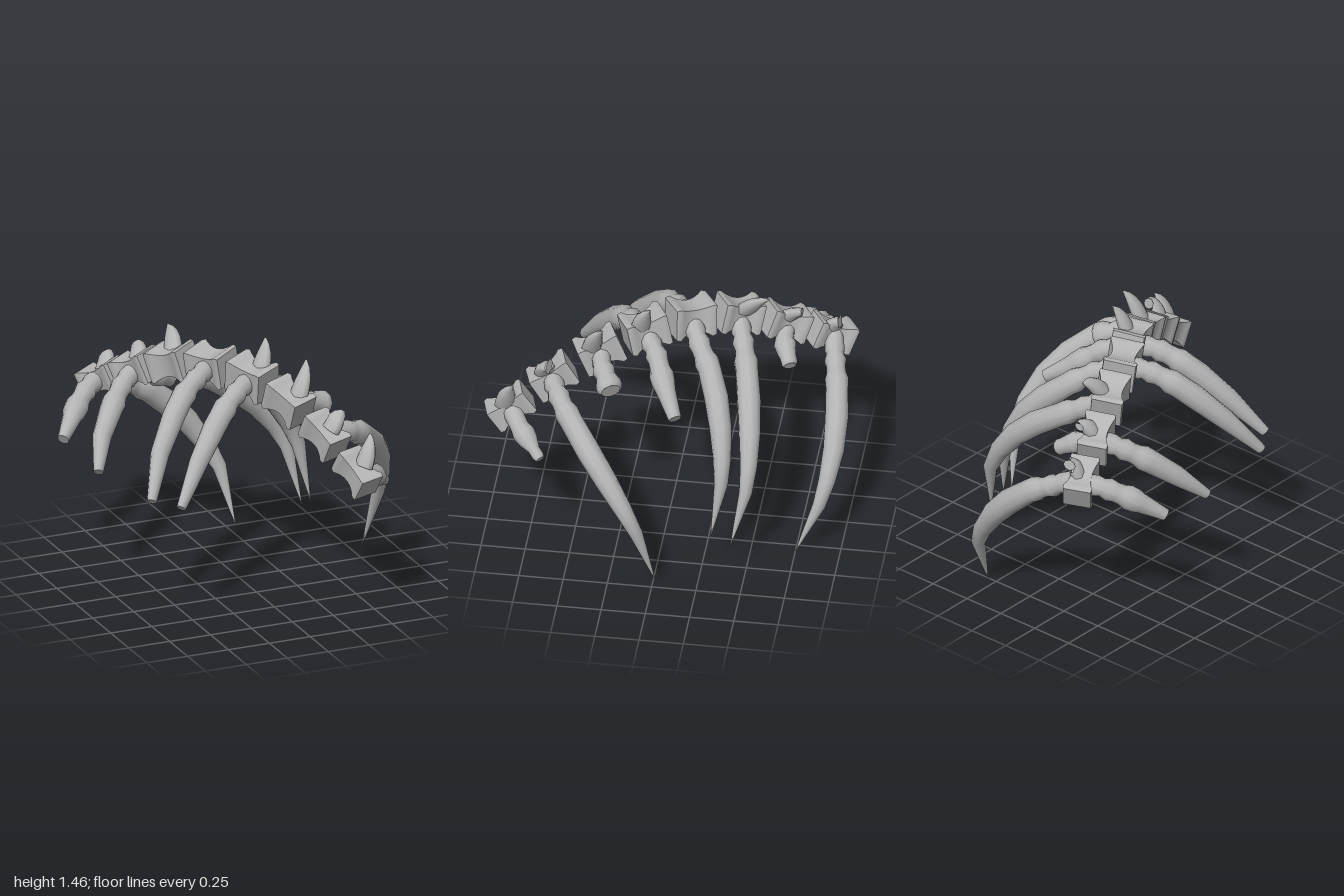
import * as THREE from 'three';

const V = (a) => new THREE.Vector3(...a);

// Skin rings of an elliptical section along a curve; rows are [u, radiusA, radiusB]
function loft(curve, rows, sides, startNormal) {
  const pos = [], idx = [];
  let n = startNormal.clone();
  const ring = (u, ra, rb) => {
    const t = curve.getTangentAt(u), c = curve.getPointAt(u);
    n = n.clone().addScaledVector(t, -n.dot(t)).normalize();
    const b = new THREE.Vector3().crossVectors(t, n);
    for (let i = 0; i < sides; i++) {
      const a = (i / sides) * Math.PI * 2;
      const p = c.clone().addScaledVector(n, Math.cos(a) * ra).addScaledVector(b, Math.sin(a) * rb);
      pos.push(p.x, p.y, p.z);
    }
  };
  rows.forEach(([u, ra, rb]) => ring(u, ra, rb));
  for (let r = 0; r < rows.length - 1; r++) {
    for (let i = 0; i < sides; i++) {
      const a = r * sides + i, b = r * sides + (i + 1) % sides;
      idx.push(a, b, b + sides, a, b + sides, a + sides);
    }
  }
  // end caps use their own vertices so the broken ends stay sharp
  [rows[0], rows[rows.length - 1]].forEach(([u, ra, rb], end) => {
    const s = pos.length / 3;
    ring(u, ra, rb);
    for (let i = 1; i < sides - 1; i++) {
      if (end) idx.push(s, s + i, s + i + 1);
      else idx.push(s, s + i + 1, s + i);
    }
  });
  const g = new THREE.BufferGeometry();
  g.setAttribute('position', new THREE.Float32BufferAttribute(pos, 3));
  g.setIndex(idx);
  g.computeVertexNormals();
  return g;
}

// Vertebra centres with the half size of their end faces
const vertebrae = [
  [-0.46, 0.97, -0.845, 0.083], [-0.36, 1.10, -0.60, 0.088],
  [-0.25, 1.21, -0.35, 0.092], [-0.12, 1.26, -0.10, 0.097],
  [0.02, 1.25, 0.14, 0.095], [0.14, 1.17, 0.38, 0.088],
  [0.25, 1.04, 0.63, 0.082], [0.35, 0.88, 0.855, 0.077],
];

// Block with flared rims and a pinched waist
function vertebraGeometry(half) {
  const g = new THREE.BoxGeometry(2, 2, 1, 2, 2, 10);
  const p = g.attributes.position;
  for (let i = 0; i < p.count; i++) {
    const t = Math.abs(p.getZ(i)) * 2;
    const s = half * (t > 0.95 ? 0.95 : 0.7 + 0.3 * Math.pow(t / 0.8, 2));
    p.setXYZ(i, p.getX(i) * s, p.getY(i) * s, p.getZ(i) * 0.24);
  }
  g.computeVertexNormals();
  return g;
}

// Whole ribs, ending in a point
const wholeRibs = [
  [[-0.44, 0.98, -0.86], [-0.3, 0.9, -0.89], [-0.15, 0.82, -0.92], [0.09, 0.6, -0.94], [0.27, 0.31, -0.88], [0.31, 0, -0.75]],
  [[-0.25, 1.2, -0.35], [-0.1, 1.11, -0.4], [0.05, 1.02, -0.44], [0.3, 0.84, -0.49], [0.5, 0.56, -0.5], [0.57, 0.2, -0.42]],
  [[-0.12, 1.25, -0.1], [0.03, 1.18, -0.17], [0.18, 1.07, -0.26], [0.39, 0.86, -0.34], [0.53, 0.57, -0.36], [0.575, 0.26, -0.31]],
  [[0.25, 1.05, 0.64], [0.35, 1.03, 0.6], [0.48, 0.99, 0.53], [0.62, 0.88, 0.41], [0.77, 0.66, 0.22], [0.82, 0.4, 0.07], [0.765, 0.07, -0.02]],
];
// Broken ribs, with the radius of their blunt end
const brokenRibs = [
  [0.036, [-0.46, 0.97, -0.86], [-0.56, 0.95, -0.8], [-0.67, 0.89, -0.71], [-0.83, 0.76, -0.55]],
  [0.03, [-0.36, 1.1, -0.6], [-0.47, 1.05, -0.53], [-0.58, 0.97, -0.43], [-0.71, 0.84, -0.29], [-0.79, 0.7, -0.15]],
  [0.03, [-0.12, 1.26, -0.1], [-0.24, 1.23, -0.02], [-0.38, 1.15, 0.07], [-0.6, 0.91, 0.26], [-0.71, 0.71, 0.41]],
  [0.03, [0.02, 1.24, 0.14], [-0.1, 1.21, 0.22], [-0.23, 1.13, 0.3], [-0.43, 0.93, 0.44], [-0.6, 0.71, 0.57]],
  [0.04, [0.02, 1.23, 0.14], [0.15, 1.18, 0.06], [0.28, 1.08, 0], [0.45, 0.96, -0.09]],
];
// Short stumps: end radius, then the path
const stumps = [
  [0.048, [-0.36, 1.08, -0.6], [-0.25, 1.04, -0.61], [-0.12, 0.97, -0.66]],
  [0.074, [0.14, 1.17, 0.38], [0.25, 1.14, 0.35], [0.4, 1.08, 0.28]],
  [0.034, [0.35, 0.88, 0.86], [0.45, 0.84, 0.8], [0.61, 0.72, 0.65]],
];

// Knuckles at the root of a rib: distance along the rib, radius
const knuckles = [[0, 0.055], [0.1, 0.062], [0.13, 0.053], [0.17, 0.067], [0.21, 0.058], [0.25, 0.06], [0.29, 0.073], [0.34, 0.069]];

// Horns on top: base, tip, end scale (0 pointed, larger means broken)
const horns = [
  [[-0.45, 1.0, -0.85], [-0.42, 1.08, -0.9], 0.75],
  [[-0.35, 1.13, -0.61], [-0.32, 1.2, -0.7], 0.55],
  [[-0.23, 1.25, -0.39], [-0.2, 1.36, -0.53], 0.1],
  [[0.06, 1.28, 0.16], [0.12, 1.455, 0.1], 0.1],
  [[0.18, 1.2, 0.42], [0.26, 1.39, 0.35], 0.1],
  [[0.27, 1.08, 0.67], [0.32, 1.155, 0.64], 0.8],
  [[0.38, 0.92, 0.88], [0.44, 1.09, 0.83], 0.1],
];

export function createModel() {
  const model = new THREE.Group();
  model.name = 'ribcage';
  const bone = new THREE.MeshStandardMaterial({ color: 0xb4b4b4 });
  bone.name = 'bone grey';
  const add = (name, geometry) => {
    const m = new THREE.Mesh(geometry, bone);
    m.name = name;
    model.add(m);
    return m;
  };

  // Backbone, each block turned along the curve of the spine
  const spine = new THREE.CatmullRomCurve3(vertebrae.map(V));
  vertebrae.forEach((v, i) => {
    const m = add('vertebra' + (i + 1), vertebraGeometry(v[3]));
    const z = spine.getTangent(i / (vertebrae.length - 1));
    const x = new THREE.Vector3(0, 1, 0).cross(z).normalize();
    const y = new THREE.Vector3().crossVectors(z, x);
    m.quaternion.setFromRotationMatrix(new THREE.Matrix4().makeBasis(x, y, z));
    m.rotateY(0.08 - 0.025 * i);
    m.rotateZ(0.14);
    m.position.set(v[0], v[1], v[2]);
  });

  // Ribs
  const up = new THREE.Vector3(0, 1, 0);
  const rib = (name, path, body) => {
    const c = new THREE.CatmullRomCurve3(path.map(V));
    const length = c.getLength();
    const rows = knuckles.filter(([d]) => d < length * 0.78).map(([d, r]) => [d / length, r, r * 0.95]);
    body.forEach(([u, r]) => {
      if (u > rows[rows.length - 1][0] + 0.02) rows.push([u, r, r * 0.92]);
    });
    add(name, loft(c, rows, 10, up));
  };
  wholeRibs.forEach((p, i) => rib('wholeRib' + (i + 1), p, [[0.38, 0.074], [0.51, 0.068], [0.64, 0.055], [0.75, 0.042], [1, 0.002]]));
  brokenRibs.forEach(([end, ...p], i) => rib('brokenRib' + (i + 1), p, [[0.46, 0.071], [0.7, 0.059], [1, end]]));

  // Stumps of ribs snapped off near the spine
  stumps.forEach(([end, ...p], i) => {
    const rows = [[0, 0.058], [0.4, 0.053], [0.52, 0.065], [0.66, 0.056], [0.82, end], [0.94, end], [1, end * 0.75]];
    add('ribStump' + (i + 1), loft(new THREE.CatmullRomCurve3(p.map(V)), rows.map(([u, r]) => [u, r, r]), 10, up));
  });

  // Curved horns along the top of the spine
  const along = V([0.42, 0, 0.91]);
  horns.forEach(([a, b, end], i) => {
    const base = V(a), tip = V(b);
    const mid = base.clone().lerp(tip, 0.55).addScaledVector(along, 0.025).add(V([0, 0.025, 0]));
    const rows = [0, 0.2, 0.4, 0.6, 0.8, 1].map((u) => {
      const s = 1 - (1 - end) * Math.pow(u, 2.2);
      return [u, 0.062 * s, 0.04 * s];
    });
    add('horn' + (i + 1), loft(new THREE.QuadraticBezierCurve3(base, mid, tip), rows, 8, along));
  });
  return model;
}
